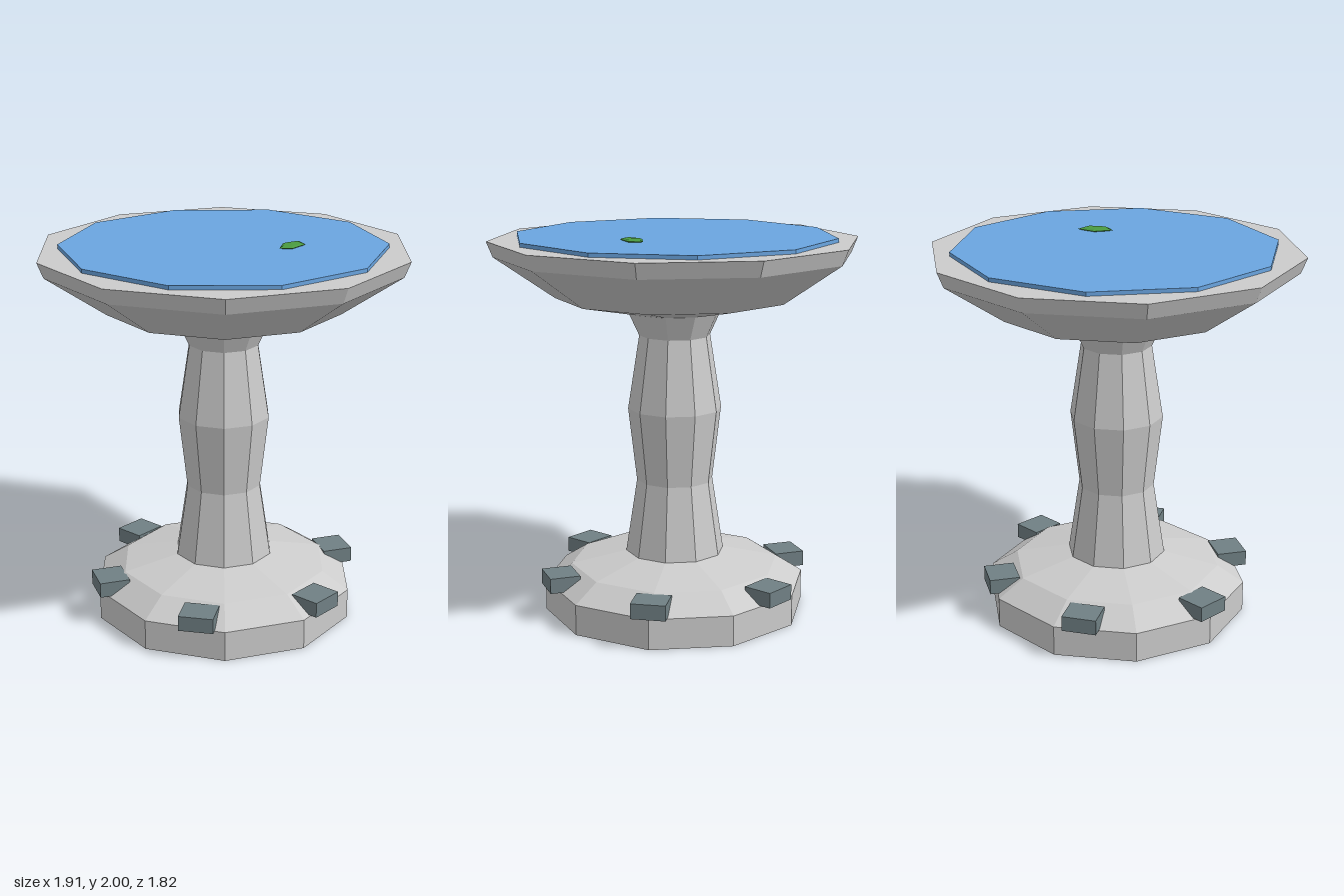
import * as THREE from 'three';
import { ConvexGeometry } from 'three/addons/geometries/ConvexGeometry.js';

const SIDES = 10;

function material(color) {
  return new THREE.MeshStandardMaterial({ color, flatShading: true });
}

function addMesh(parent, name, geometry, mat) {
  const mesh = new THREE.Mesh(geometry, mat);
  mesh.name = name;
  parent.add(mesh);
  return mesh;
}

// Faceted turned solid, listed bottom to top, with corners on the x axis
function turned(profile) {
  const points = profile.map(([r, y]) => new THREE.Vector2(r, y));
  return new THREE.LatheGeometry(points, SIDES).rotateY(Math.PI / 2);
}

export function createModel() {
  const model = new THREE.Group();
  model.name = 'birdBath';
  const stone = material(0xcccccc);
  const blockStone = material(0x708084);
  const waterBlue = material(0x6aa5e0);
  const leafGreen = material(0x4a9a40);

  // Stepped foot
  addMesh(model, 'base', turned([
    [0, 0], [0.69, 0], [0.69, 0.16], [0.55, 0.25], [0.26, 0.312], [0, 0.312],
  ]), stone);

  // Waisted column
  addMesh(model, 'column', turned([
    [0.26, 0.31], [0.2, 0.7], [0.245, 1.085], [0.185, 1.47], [0.245, 1.6],
  ]), stone);

  // Wide basin
  addMesh(model, 'basin', turned([
    [0, 1.595], [0.24, 1.595], [0.615, 1.672], [0.925, 1.885], [0.957, 1.965], [0, 1.965],
  ]), stone);

  // Water disc, turned half a facet from the basin
  const water = addMesh(model, 'water',
    new THREE.CylinderGeometry(0.835, 0.835, 0.02, SIDES), waterBlue);
  water.position.y = 1.975;

  // Six blocks around the foot
  const blocks = new THREE.Group();
  blocks.name = 'baseBlocks';
  model.add(blocks);
  for (let i = 0; i < 6; i++) {
    const a = (i * Math.PI) / 3;
    const block = addMesh(blocks, 'baseBlock', new THREE.BoxGeometry(0.16, 0.08, 0.18), blockStone);
    block.position.set(0.63 * Math.cos(a), 0.205, 0.63 * Math.sin(a));
    block.rotation.y = -a;
  }

  // Floating leaf: a five-cornered outline, widest at mid height
  const outline = [[-0.083, 0.041], [-0.032, -0.046], [0.065, -0.067], [0.07, 0.005], [-0.022, 0.066]];
  const rings = [[0.7, -0.008], [1, 0], [0.75, 0.007]];
  const leafPoints = rings.flatMap(([s, y]) =>
    outline.map(([x, z]) => new THREE.Vector3(x * s, y, z * s)));
  leafPoints.push(new THREE.Vector3(0, 0.009, 0));
  const leaf = addMesh(model, 'leaf', new ConvexGeometry(leafPoints), leafGreen);
  leaf.position.set(0.309, 1.991, 0.154);

  return model;
}
